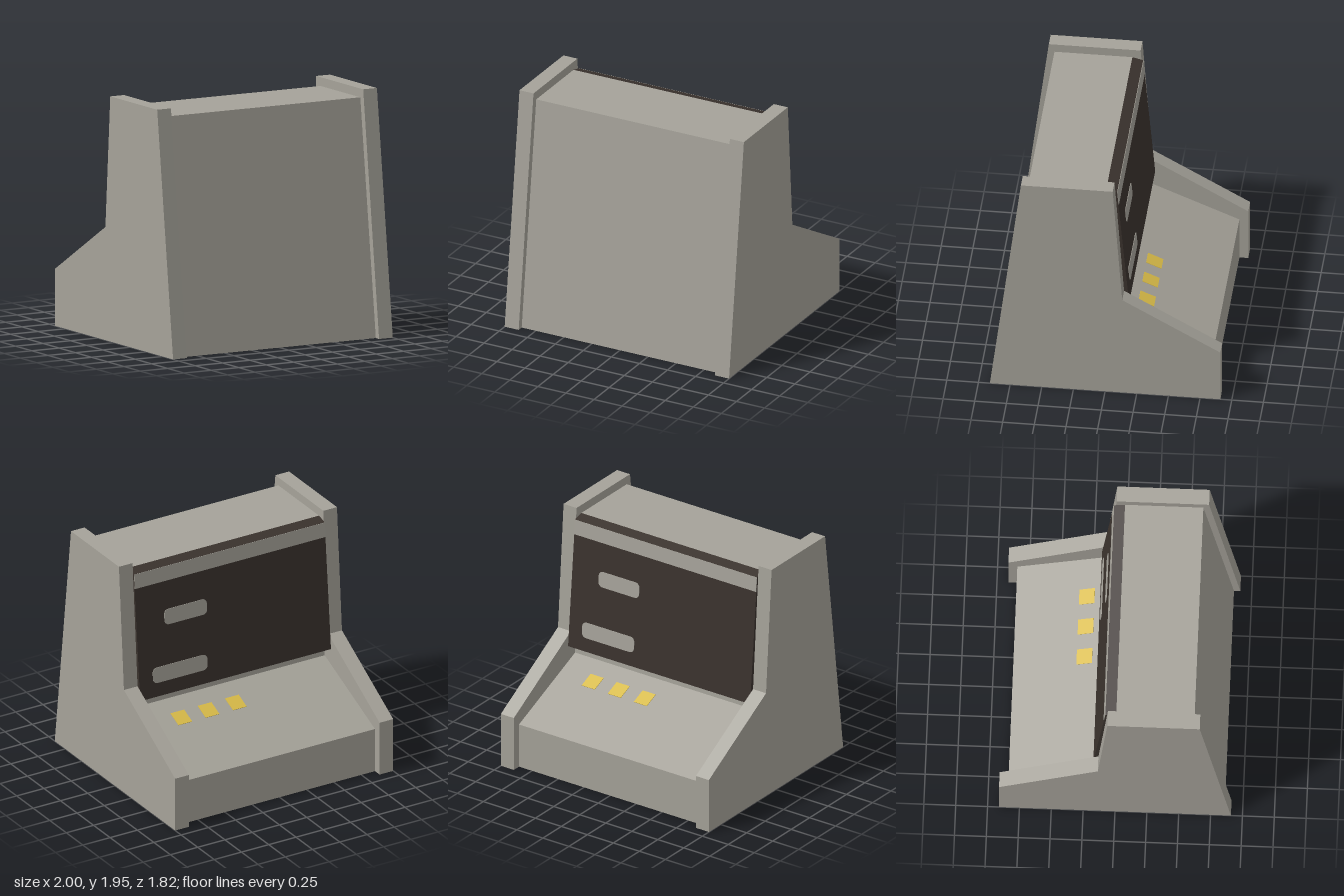
import * as THREE from 'three';

// All profiles are [z, y] pairs, seen from the side.
const INNER = 0.875; // half width between the side panels

const PANEL = [[0.91, 0], [0.665, 1.95], [-0.06, 1.95], [-0.135, 0.9], [-0.91, 0.455], [-0.91, 0]];
const SHELL = [[0.86, 0], [0.62, 1.88], [0.005, 1.88], [-0.08, 0.69], [-0.84, 0.37], [-0.84, 0]];
const SCREEN = [[0.005, 1.88], [-0.08, 1.858], [-0.175, 0.785], [-0.073, 0.775]];

// Solid prism of a side profile, running from x0 to x1
function prism(profile, x0, x1) {
  const shape = new THREE.Shape(profile.map(([z, y]) => new THREE.Vector2(z, y)));
  const geo = new THREE.ExtrudeGeometry(shape, { depth: x1 - x0, bevelEnabled: false });
  return geo.rotateY(-Math.PI / 2).translate(x1, 0, 0);
}

// Folded sheet that follows a side profile, open at the bottom and ends
function sheet(profile, half) {
  const pos = [];
  for (let i = 0; i + 1 < profile.length; i++) {
    const [z0, y0] = profile[i], [z1, y1] = profile[i + 1];
    const a = [-half, y0, z0], b = [half, y0, z0], c = [half, y1, z1], d = [-half, y1, z1];
    pos.push(...a, ...b, ...c, ...a, ...c, ...d);
  }
  const geo = new THREE.BufferGeometry();
  geo.setAttribute('position', new THREE.Float32BufferAttribute(pos, 3));
  geo.computeVertexNormals();
  return geo;
}

// Thin rounded plate lying on the slope from low to high ([z, y] points)
function plate(low, high, x0, x1, y0, y1, radius) {
  const up = new THREE.Vector3(0, high[1] - low[1], high[0] - low[0]).normalize();
  const right = new THREE.Vector3(-1, 0, 0);
  const out = new THREE.Vector3().crossVectors(right, up);
  const w = (x1 - x0) / 2, h = (y1 - y0) / 2 / up.y, r = radius;
  const s = new THREE.Shape();
  if (r > 0) {
    s.absarc(w - r, h - r, r, 0, Math.PI / 2);
    s.absarc(r - w, h - r, r, Math.PI / 2, Math.PI);
    s.absarc(r - w, r - h, r, Math.PI, Math.PI * 1.5);
    s.absarc(w - r, r - h, r, Math.PI * 1.5, Math.PI * 2);
  } else {
    s.moveTo(-w, -h).lineTo(w, -h).lineTo(w, h).lineTo(-w, h);
  }
  s.closePath();
  const geo = new THREE.ExtrudeGeometry(s, { depth: 0.004, bevelEnabled: false, curveSegments: 6 });
  const y = (y0 + y1) / 2;
  const z = low[0] + (high[0] - low[0]) * (y - low[1]) / (high[1] - low[1]);
  const m = new THREE.Matrix4().makeBasis(right, up, out).setPosition((x0 + x1) / 2, y, z);
  return geo.applyMatrix4(m);
}

export function createModel() {
  const group = new THREE.Group();
  const material = (name, color, side = THREE.FrontSide) => {
    const m = new THREE.MeshStandardMaterial({ color, side });
    m.name = name;
    return m;
  };
  const grey = material('warmGrey', 0xa5a299, THREE.DoubleSide);
  const dark = material('darkBrown', 0x3a322d);
  const yellow = material('yellow', 0xd8bb48);
  const add = (name, geo, mat) => {
    const mesh = new THREE.Mesh(geo, mat);
    mesh.name = name;
    group.add(mesh);
  };

  // Cabinet: two side panels around a hollow shell
  add('leftSidePanel', prism(PANEL, INNER, 1), grey);
  add('rightSidePanel', prism(PANEL, -1, -INNER), grey);
  add('cabinetShell', sheet(SHELL, INNER), grey);

  // Upright display panel with its header strip and two rounded slots
  add('displayPanel', prism(SCREEN, -INNER, INNER), dark);
  const [top, bottom] = [SCREEN[1], SCREEN[2]];
  add('headerStrip', plate(bottom, top, -INNER, INNER, 1.735, 1.857, 0), grey);
  add('upperSlot', plate(bottom, top, 0.23, 0.62, 1.365, 1.495, 0.04), grey);
  add('lowerSlot', plate(bottom, top, 0.25, 0.75, 0.9, 1.03, 0.04), grey);

  // Three square buttons on the sloping deck
  for (let i = 0; i < 3; i++) {
    const x = i * 0.25;
    add('button' + (i + 1), plate(SHELL[4], SHELL[3], x, x + 0.125, 0.58, 0.631, 0), yellow);
  }
  return group;
}
